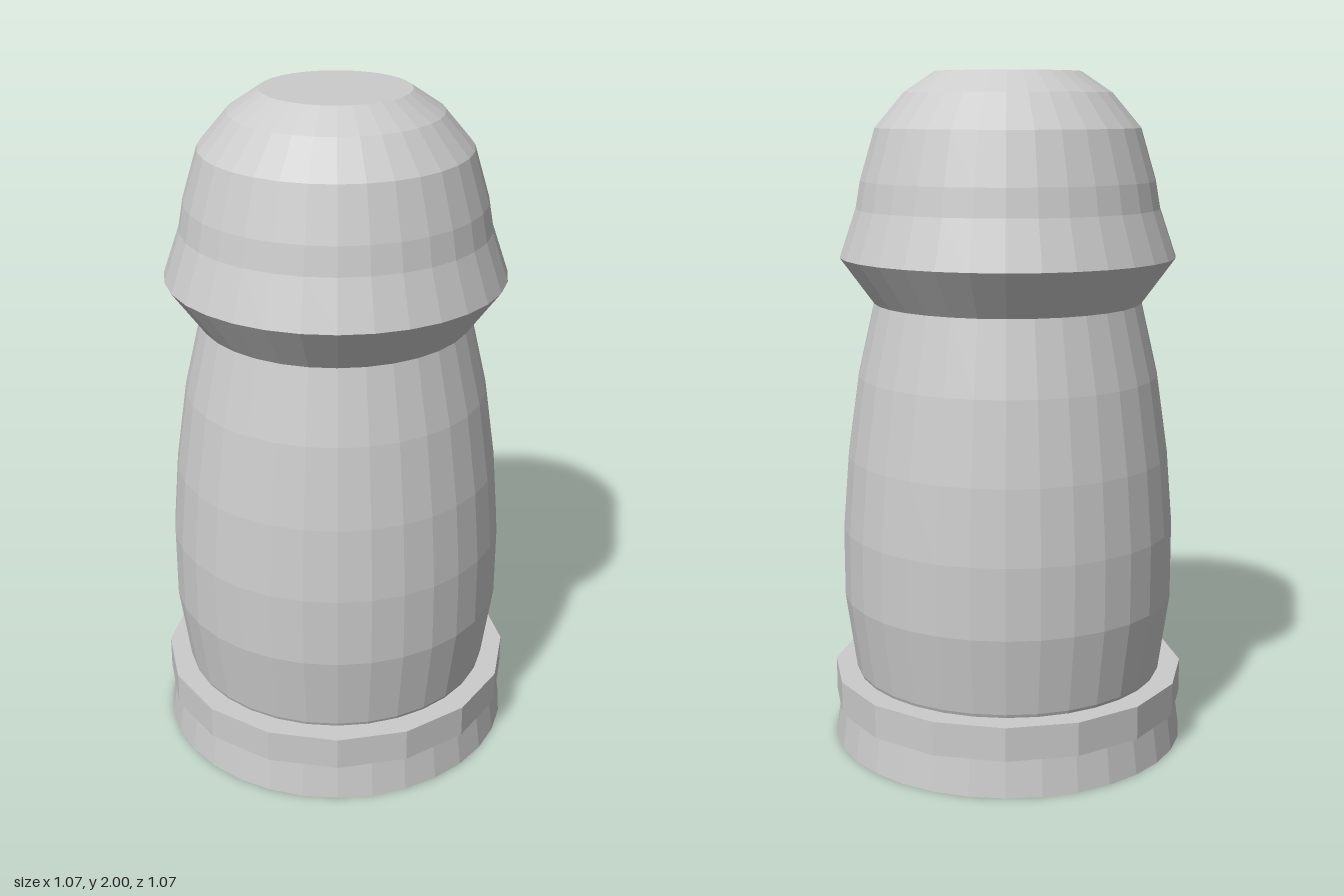
import * as THREE from 'three';

const material = new THREE.MeshStandardMaterial({
  color: 0xcccccc, flatShading: true, side: THREE.DoubleSide,
});

// Faceted surface of revolution from [radius, height] pairs, bottom to top.
function turned(name, profile, sides, turn = 0) {
  const points = profile.map(([r, y]) => new THREE.Vector2(r, y));
  const mesh = new THREE.Mesh(new THREE.LatheGeometry(points, sides, turn), material);
  mesh.name = name;
  return mesh;
}

export function createModel() {
  const model = new THREE.Group();
  model.name = 'capsule';

  // Flared skirt, open underneath
  model.add(turned('baseSkirt', [[0.535, 0], [0.52, 0.11]], 32));

  // Coarse sixteen-sided collar with a hole through it
  model.add(turned('baseCollar', [
    [0.43, 0.11], [0.535, 0.11], [0.535, 0.21], [0.43, 0.21], [0.43, 0.11],
  ], 16, Math.PI / 16));

  // Hollow bulging body
  model.add(turned('body', [
    [0.46, 0.2], [0.468, 0.22], [0.5, 0.45], [0.5, 0.66],
    [0.482, 0.88], [0.447, 1.12], [0.397, 1.335],
  ], 32));

  // Domed head with an overhanging brim and a flat top
  model.add(turned('head', [
    [0.397, 1.335], [0.495, 1.47], [0.447, 1.61], [0.433, 1.69],
    [0.388, 1.84], [0.303, 1.94], [0.213, 2], [0, 2],
  ], 32));

  return model;
}
